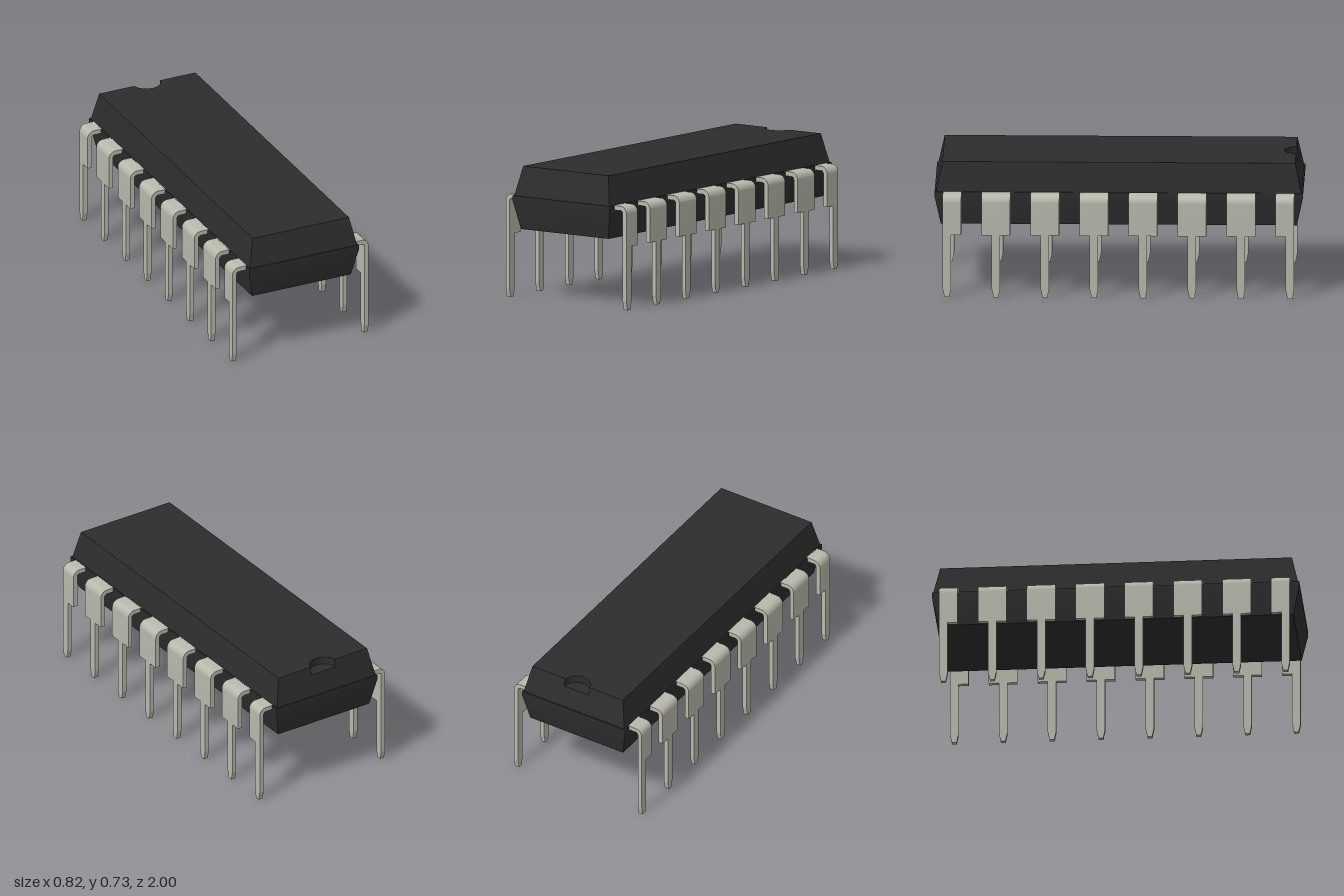
import * as THREE from 'three';
import { toCreasedNormals } from 'three/addons/utils/BufferGeometryUtils.js';

const NOTCH = { r: 0.08, w: 0.973, floor: 0.687 };

// Rectangle seen from above as (x, -z), optionally with a round bite in the back edge
function outline(hx, hz, notched) {
  const pts = [[-hx, -hz], [hx, -hz], [hx, hz]];
  if (notched) {
    const a = Math.asin((hz - NOTCH.w) / NOTCH.r), n = 20;
    for (let i = 0; i <= n; i++) {
      const t = a + (-Math.PI - 2 * a) * (i / n);
      pts.push([NOTCH.r * Math.cos(t), NOTCH.w + NOTCH.r * Math.sin(t)]);
    }
  }
  pts.push([-hx, hz]);
  return pts.map(([x, w]) => new THREE.Vector2(x, w));
}

// Skin between stacked outlines [y, points], with optional caps
function loft(levels, capBottom, capTop) {
  const pos = [];
  const put = (p, y) => pos.push(p.x, y, -p.y);
  for (let k = 0; k < levels.length - 1; k++) {
    const [y0, lo] = levels[k], [y1, up] = levels[k + 1];
    lo.forEach((p, i) => {
      const j = (i + 1) % lo.length;
      put(p, y0); put(lo[j], y0); put(up[j], y1);
      put(p, y0); put(up[j], y1); put(up[i], y1);
    });
  }
  const cap = ([y, pts], flip) => {
    for (const [a, b, c] of THREE.ShapeUtils.triangulateShape(pts, [])) {
      for (const i of flip ? [a, c, b] : [a, b, c]) put(pts[i], y);
    }
  };
  if (capBottom) cap(levels[0], true);
  if (capTop) cap(levels[levels.length - 1], false);
  const g = new THREE.BufferGeometry();
  g.setAttribute('position', new THREE.Float32BufferAttribute(pos, 3));
  return toCreasedNormals(g, 0.3);
}

// Bent upper part of a pin, spanning z0..z1
function shoulderGeometry(z0, z1) {
  const s = new THREE.Shape();
  s.moveTo(0.3, 0.545);
  s.lineTo(0.37, 0.545);
  s.absarc(0.37, 0.53, 0.015, Math.PI / 2, 0, true);
  s.lineTo(0.385, 0.348);
  s.lineTo(0.41, 0.348);
  s.lineTo(0.41, 0.53);
  s.absarc(0.37, 0.53, 0.04, 0, Math.PI / 2, false);
  s.lineTo(0.3, 0.57);
  s.closePath();
  const g = new THREE.ExtrudeGeometry(s, { depth: z1 - z0, bevelEnabled: false, curveSegments: 8 });
  g.translate(0, 0, z0);
  return toCreasedNormals(g, 0.5);
}

// Narrow leg with a tapered tip
function stemGeometry() {
  const s = new THREE.Shape([
    [-0.013, 0], [0.013, 0], [0.023, 0.048], [0.023, 0.348], [-0.023, 0.348], [-0.023, 0.048],
  ].map(([x, y]) => new THREE.Vector2(x, y)));
  const g = new THREE.ExtrudeGeometry(s, { depth: 0.025, bevelEnabled: false });
  g.rotateY(Math.PI / 2);
  g.translate(0.385, 0, 0);
  return g;
}

export function createModel() {
  const model = new THREE.Group();
  model.name = 'chipPackage';
  const plastic = new THREE.MeshStandardMaterial({ color: 0x2d2d2d });
  plastic.name = 'black plastic';
  const metal = new THREE.MeshStandardMaterial({ color: 0xb8b8ac });
  metal.name = 'tinned metal';

  const add = (parent, geometry, material, name) => {
    const mesh = new THREE.Mesh(geometry, material);
    mesh.name = name;
    parent.add(mesh);
    return mesh;
  };

  // Body: tapered lower half, seam band, stepped upper half up to the notch floor
  const t = (NOTCH.floor - 0.57) / 0.16;
  const fx = 0.323 - 0.033 * t, fz = 0.993 - 0.035 * t;
  add(model, loft([
    [0.385, outline(0.298, 0.967)],
    [0.543, outline(0.33, 1)],
    [0.57, outline(0.33, 1)],
    [0.57, outline(0.323, 0.993)],
    [NOTCH.floor, outline(fx, fz)],
  ], true, true), plastic, 'body');

  // Top layer with the orientation notch at the back
  add(model, loft([
    [NOTCH.floor, outline(fx, fz, true)],
    [0.73, outline(0.29, 0.958, true)],
  ], false, true), plastic, 'notchedTop');

  // Two rows of eight pins; end pins have a shoulder on the inner side only
  const wide = shoulderGeometry(-0.078, 0.078);
  const endBack = shoulderGeometry(-0.023, 0.078);
  const endFront = shoulderGeometry(-0.078, 0.023);
  const stem = stemGeometry();
  for (const side of ['left', 'right']) {
    const row = new THREE.Group();
    row.name = side + 'PinRow';
    for (let i = 0; i < 8; i++) {
      const pin = new THREE.Group();
      pin.name = 'pin' + (i + 1);
      pin.position.z = (i - 3.5) * 0.2662;
      add(pin, i === 0 ? endBack : i === 7 ? endFront : wide, metal, 'pinShoulder');
      add(pin, stem, metal, 'pinLeg');
      row.add(pin);
    }
    if (side === 'right') row.rotation.y = Math.PI;
    model.add(row);
  }
  return model;
}
